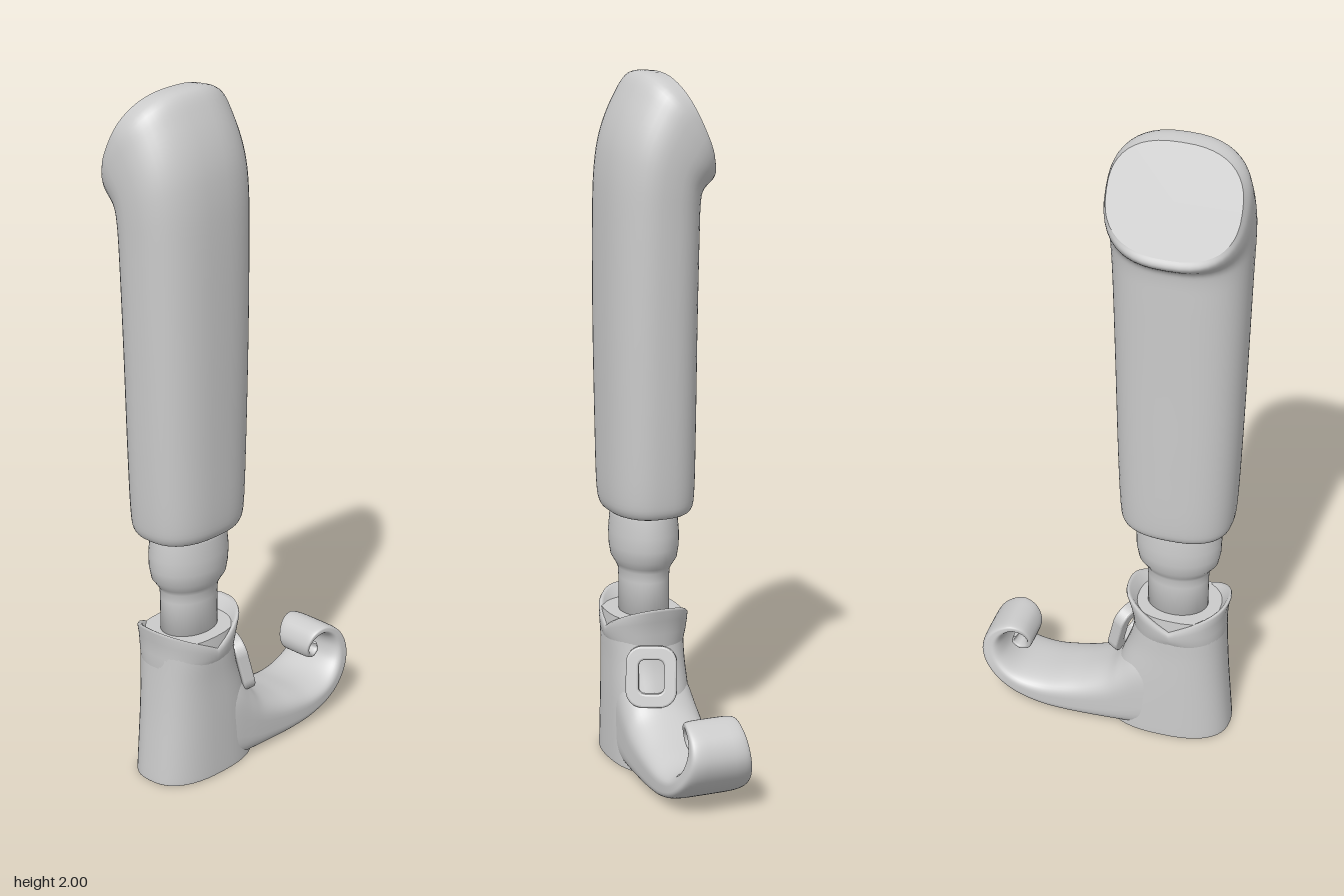
import * as THREE from 'three';

const material = new THREE.MeshStandardMaterial({ color: 0xcccccc, side: THREE.DoubleSide });

// Closed smooth skin over a list of rings, with sharp flat caps at both ends.
function skin(name, rings) {
  const n = rings[0].length, pos = [], index = [];
  rings.forEach(r => r.forEach(p => pos.push(p.x, p.y, p.z)));
  for (let i = 0; i < rings.length - 1; i++) {
    for (let j = 0; j < n; j++) {
      const a = i * n + j, b = i * n + (j + 1) % n;
      index.push(a, b, a + n, b, b + n, a + n);
    }
  }
  [rings[0], rings[rings.length - 1]].forEach((ring, end) => {
    const base = pos.length / 3, c = new THREE.Vector3();
    ring.forEach(p => { pos.push(p.x, p.y, p.z); c.addScaledVector(p, 1 / n); });
    pos.push(c.x, c.y, c.z);
    for (let j = 0; j < n; j++) {
      const a = base + j, b = base + (j + 1) % n;
      if (end) index.push(a, b, base + n); else index.push(b, a, base + n);
    }
  });
  // turn the faces outward if the enclosed volume is negative
  const at = i => new THREE.Vector3().fromArray(pos, i * 3);
  let volume = 0;
  for (let i = 0; i < index.length; i += 3) {
    volume += at(index[i]).dot(at(index[i + 1]).cross(at(index[i + 2])));
  }
  if (volume < 0) index.reverse();
  const g = new THREE.BufferGeometry();
  g.setAttribute('position', new THREE.Float32BufferAttribute(pos, 3));
  g.setIndex(index);
  g.computeVertexNormals();
  const mesh = new THREE.Mesh(g, material);
  mesh.name = name;
  return mesh;
}

// Sections [ax, ay, bx, by, halfWidth]: a and b are the two ends of the section in
// its plane; place(u, v, w) maps to space. nA, nB: squareness of each half.
function loft(name, sections, place, nA = 2.3, nB = nA, steps = 5, sides = 48) {
  const spline = f => new THREE.SplineCurve(sections.map(f));
  const A = spline(s => new THREE.Vector2(s[0], s[1]));
  const B = spline(s => new THREE.Vector2(s[2], s[3]));
  const W = spline(s => new THREE.Vector2(s[4], 0));
  const count = (sections.length - 1) * steps, rings = [];
  for (let i = 0; i <= count; i++) {
    const t = i / count, a = A.getPoint(t), b = B.getPoint(t), w = W.getPoint(t).x;
    const ring = [];
    for (let j = 0; j < sides; j++) {
      const q = j / sides * Math.PI * 2, c = Math.cos(q), s = Math.sin(q);
      const e = 2 / (c < 0 ? nA : nB);
      const k = (1 + Math.sign(c) * Math.abs(c) ** e) / 2;
      ring.push(place(a.x + (b.x - a.x) * k, a.y + (b.y - a.y) * k,
        w * Math.sign(s) * Math.abs(s) ** e));
    }
    rings.push(ring);
  }
  return skin(name, rings);
}

const legPlace = (x, y, w) => new THREE.Vector3(x, y, 0.198 + w);
const shoePlace = (z, y, w) => new THREE.Vector3(0.029 + w, y, z);

// Thigh, its sections tilting toward the slanted cut at the hip
function makeThigh() {
  return loft('thigh', [
    [-0.07, 0.742, 0.12, 0.742, 0.135], [-0.098, 0.755, 0.14, 0.755, 0.155],
    [-0.107, 0.81, 0.15, 0.81, 0.165], [-0.11, 1.0, 0.153, 1.0, 0.173],
    [-0.113, 1.3, 0.155, 1.3, 0.181], [-0.117, 1.54, 0.152, 1.6, 0.188],
    [-0.119, 1.635, 0.143, 1.75, 0.193], [-0.127, 1.668, 0.122, 1.85, 0.195],
    [-0.152, 1.69, 0.083, 1.94, 0.195], [-0.16, 1.705, 0.04, 1.998, 0.192],
    [-0.152, 1.722, -0.022, 2.0, 0.182]
  ], legPlace, 2.5);
}

// Knee band and stocking, an oval turned profile
function makeStocking() {
  const profile = [[0, 0.76], [0.115, 0.76], [0.12, 0.73], [0.125, 0.68], [0.124, 0.64],
    [0.117, 0.605], [0.1, 0.582], [0.092, 0.568], [0.09, 0.54], [0.09, 0.4], [0, 0.4]];
  const g = new THREE.LatheGeometry(profile.reverse().map(p => new THREE.Vector2(...p)), 48);
  const mesh = new THREE.Mesh(g, material);
  mesh.name = 'stocking';
  mesh.scale.x = 0.79;
  mesh.position.set(0.026, 0, 0.2);
  return mesh;
}

// Boot shaft, standing on the heel
function makeShaft() {
  return loft('bootShaft', [
    [0.368, 0, 0.0, 0, 0.117], [0.369, 0.012, 0.0, 0.012, 0.118],
    [0.362, 0.1, 0.01, 0.1, 0.117], [0.354, 0.2, 0.028, 0.2, 0.115],
    [0.348, 0.3, 0.062, 0.3, 0.112], [0.345, 0.38, 0.078, 0.38, 0.112],
    [0.345, 0.44, 0.075, 0.44, 0.108]
  ], shoePlace, 2.5);
}

// Foot with a flat sole, ending in a curled toe
function makeFoot() {
  return loft('footAndCurledToe', [
    [0.24, 0, 0.2, 0.3, 0.1], [0.15, 0, 0.11, 0.3, 0.113],
    [0.08, 0, 0.045, 0.23, 0.117], [0.02, 0, 0.0, 0.18, 0.118],
    [-0.06, 0, -0.07, 0.142, 0.118], [-0.13, 0.002, -0.14, 0.12, 0.118],
    [-0.2, 0.01, -0.2, 0.107, 0.117], [-0.275, 0.033, -0.252, 0.108, 0.115],
    [-0.335, 0.07, -0.29, 0.123, 0.11], [-0.378, 0.12, -0.318, 0.152, 0.1],
    [-0.391, 0.175, -0.327, 0.188, 0.09], [-0.366, 0.23, -0.32, 0.216, 0.083],
    [-0.31, 0.264, -0.3, 0.235, 0.077], [-0.263, 0.252, -0.275, 0.229, 0.068],
    [-0.24, 0.212, -0.259, 0.208, 0.058], [-0.248, 0.175, -0.264, 0.187, 0.052],
    [-0.281, 0.16, -0.281, 0.176, 0.047], [-0.307, 0.176, -0.294, 0.184, 0.044],
    [-0.303, 0.2, -0.292, 0.196, 0.04]
  ], shoePlace, 5, 2.4);
}

// Flared collar: points front and back, notches at the sides
function makeCollar() {
  // [height share from base to edge, half x, half z, centre z]
  const profile = [[-0.2, 0.108, 0.13, 0.21], [0, 0.113, 0.136, 0.21], [0.3, 0.118, 0.138, 0.208],
    [0.65, 0.12, 0.144, 0.205], [0.93, 0.119, 0.154, 0.203], [1, 0.113, 0.152, 0.203],
    [0.95, 0.104, 0.143, 0.203], [0.65, 0.094, 0.122, 0.205], [0.3, 0.08, 0.1, 0.205]];
  const rings = profile.map(([k, hx, hz, cz]) => Array.from({ length: 72 }, (_, j) => {
    const q = j / 72 * Math.PI * 2, c = Math.cos(q), s = Math.sin(q);
    const edge = 0.402 + 0.078 * Math.abs(c) ** 0.8;
    const round = v => Math.sign(v) * Math.abs(v) ** 0.85;
    return new THREE.Vector3(0.027 + hx * round(s), 0.36 + (edge - 0.36) * k, cz + hz * round(c));
  }));
  return skin('collar', rings);
}

// Rounded rectangle outline for the buckle
function roundedRect(shape, w, h, r) {
  shape.absarc(w / 2 - r, h / 2 - r, r, 0, Math.PI / 2);
  shape.absarc(-w / 2 + r, h / 2 - r, r, Math.PI / 2, Math.PI);
  shape.absarc(-w / 2 + r, -h / 2 + r, r, Math.PI, Math.PI * 1.5);
  shape.absarc(w / 2 - r, -h / 2 + r, r, Math.PI * 1.5, Math.PI * 2);
  shape.closePath();
  return shape;
}

// Buckle frame, leaning on the instep
function makeBuckle() {
  const shape = roundedRect(new THREE.Shape(), 0.135, 0.165, 0.042);
  shape.holes.push(roundedRect(new THREE.Path(), 0.085, 0.11, 0.024));
  const g = new THREE.ExtrudeGeometry(shape, {
    depth: 0.024, bevelEnabled: true, bevelSize: 0.006, bevelThickness: 0.006,
    bevelSegments: 3, curveSegments: 8
  });
  const mesh = new THREE.Mesh(g, material);
  mesh.name = 'buckle';
  mesh.position.set(0.06, 0.28, 0.055);
  mesh.lookAt(mesh.position.clone().add(new THREE.Vector3(0.4, 0.24, -0.88)));
  return mesh;
}

export function createModel() {
  const model = new THREE.Group();
  model.name = 'legWithCurledShoe';
  model.add(makeThigh(), makeStocking(), makeShaft(), makeFoot(), makeCollar(), makeBuckle());
  return model;
}
